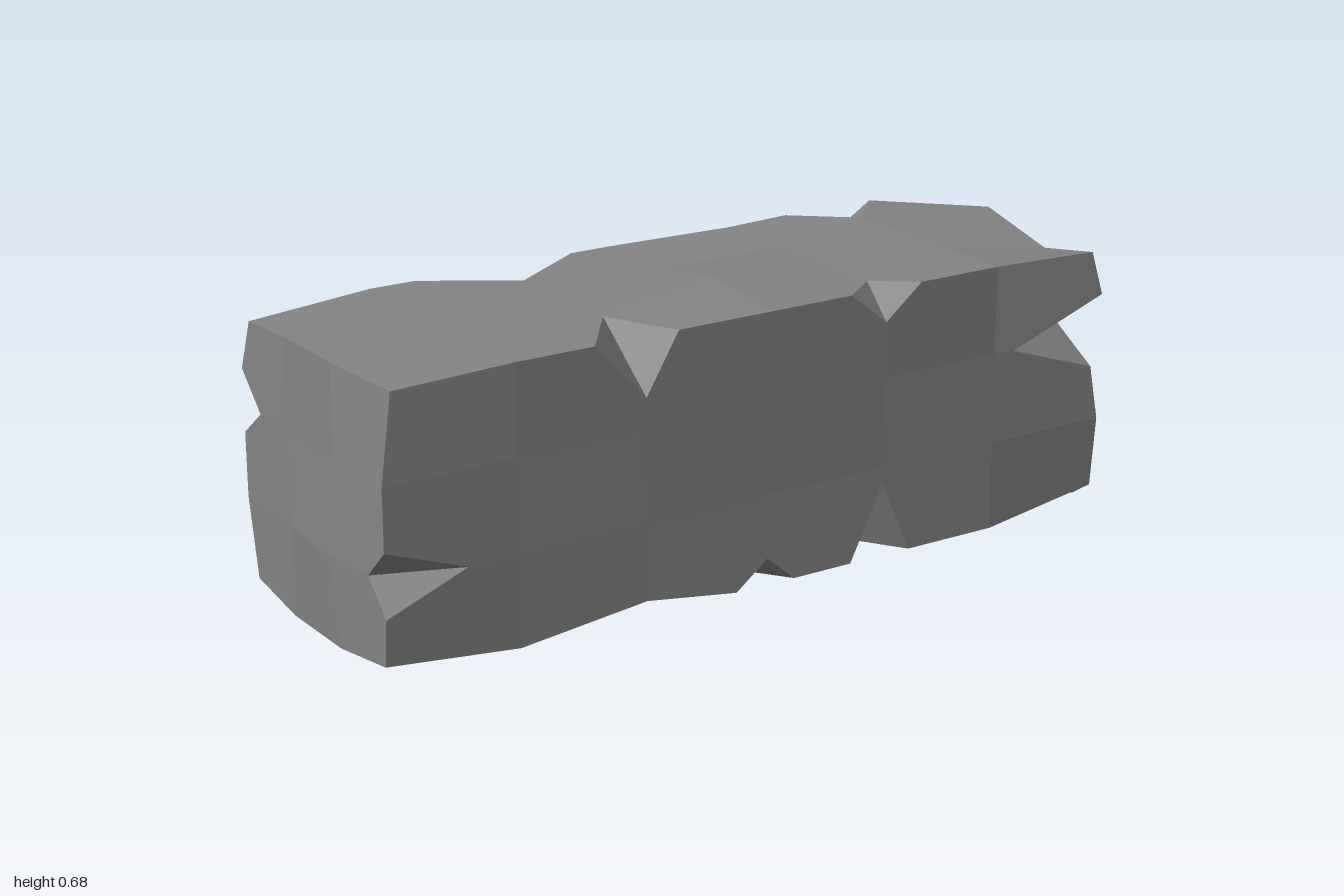
import * as THREE from 'three';

// Grid lines of the block: 6 x 3 x 3 cells
const GRID = [
  [-0.98, -0.655, -0.33, -0.005, 0.32, 0.645, 0.97],
  [0, 0.217, 0.435, 0.65],
  [-0.325, -0.11, 0.11, 0.325],
];
const LAST = [6, 3, 3];

// Worn corners, sagging edge points and swollen face points
const MOVED = {
  '0,3,3': [-0.945, 0.635, 0.31], '6,3,3': [0.97, 0.625, 0.285],
  '0,0,3': [-0.98, 0.03, 0.315], '6,0,3': [0.97, 0.04, 0.31],
  '0,3,0': [-0.965, 0.63, -0.31], '6,3,0': [0.97, 0.605, -0.27],
  '0,0,0': [-0.97, 0.02, -0.31], '6,0,0': [0.97, 0.06, -0.31],
  '6,3,2': [0.97, 0.595, 0.11], '6,0,1': [0.97, 0.025, -0.11],
  '2,0,3': [-0.33, 0.035, 0.325], '4,3,0': [0.32, 0.65, -0.31],
  '3,3,2': [-0.01, 0.68, 0.11], '0,1,2': [-1, 0.217, 0.11], '6,2,1': [1, 0.435, -0.11],
};

// Chips: edge axis, start and end along it, depth reached on the other two axes
const CHIPS = {
  '2,3,3': [0, -0.46, -0.245, 0.51, 0.15],
  '4,3,3': [0, 0.22, 0.42, 0.57, 0.25],
  '3,0,3': [0, -0.09, 0.07, 0.065, 0.22],
  '4,0,3': [0, 0.23, 0.4, 0.18, 0.2],
  '2,3,0': [0, -0.54, -0.12, 0.55, -0.19],
  '5,3,0': [0, 0.5, 0.76, 0.58, -0.2],
  '4,0,0': [0, 0.24, 0.4, 0.07, -0.25],
  '1,0,0': [0, -0.77, -0.54, 0.08, -0.25],
  '6,2,3': [1, 0.34, 0.53, 0.7, 0.14],
  '6,1,0': [1, 0.12, 0.32, 0.86, -0.17],
  '0,1,3': [1, 0.14, 0.29, -0.78, 0.25],
  '0,2,0': [1, 0.37, 0.52, -0.74, -0.24],
  '6,0,2': [2, 0.01, 0.25, 0.66, 0.18],
};

// Chip ends that are worn back from the edge line
const WORN_ENDS = { '6,2,3,0.34': [0.97, 0.34, 0.295] };

// Position of a grid point; plain face points sink in very slightly
function point(id) {
  const moved = MOVED[id.join()];
  if (moved) return moved.slice();
  const p = id.map((n, a) => GRID[a][n]);
  const outer = [0, 1, 2].filter((a) => id[a] === 0 || id[a] === LAST[a]);
  if (outer.length === 1) {
    const a = outer[0];
    const wobble = ((id[0] * 7 + id[1] * 5 + id[2] * 3) % 4) * 0.002;
    p[a] += id[a] === 0 ? wobble : -wobble;
  }
  return p;
}

// Copy of a point with one coordinate replaced
function withCoord(p, axis, value) {
  const q = p.slice();
  q[axis] = value;
  return q;
}

// Where a chip starts or ends on its edge
function chipEnd(id, value) {
  return WORN_ENDS[[...id, value].join()] || withCoord(point(id), CHIPS[id.join()][0], value);
}

// Tip of a chip on the face whose normal is faceAxis
function chipTip(id, faceAxis) {
  const chip = CHIPS[id.join()];
  const others = [0, 1, 2].filter((a) => a !== chip[0]);
  const inward = others.find((a) => a !== faceAxis);
  return withCoord(point(id), inward, chip[3 + others.indexOf(inward)]);
}

// Outline of one grid cell, cut back wherever a corner is chipped
function cellOutline(corners, faceAxis) {
  const outline = [];
  corners.forEach((id, n) => {
    const chip = CHIPS[id.join()];
    if (!chip) {
      outline.push(point(id));
      return;
    }
    const next = corners[(n + 1) % 4];
    const prev = corners[(n + 3) % 4];
    const e = chip[0];
    const alongNext = next[e] !== id[e];
    const neighbour = alongNext ? next : prev;
    const end = chipEnd(id, neighbour[e] > id[e] ? chip[2] : chip[1]);
    const tip = chipTip(id, faceAxis);
    outline.push(...(alongNext ? [tip, end] : [end, tip]));
  });
  return outline;
}

// Area-weighted normal of an outline
function outlineNormal(outline) {
  const [first, ...rest] = outline.map((p) => new THREE.Vector3(...p));
  const sum = new THREE.Vector3();
  rest.forEach((p) => p.sub(first));
  for (let n = 0; n < rest.length - 1; n++) sum.add(rest[n].clone().cross(rest[n + 1]));
  return sum.normalize();
}

function blockGeometry() {
  const positions = [];
  const normals = [];

  // Each facet is a fan of triangles sharing one normal
  const addFacet = (outline) => {
    const normal = outlineNormal(outline).toArray();
    for (let n = 1; n < outline.length - 1; n++) {
      positions.push(...outline[0], ...outline[n], ...outline[n + 1]);
      normals.push(...normal, ...normal, ...normal);
    }
  };

  // Six sides, cell by cell
  for (let a = 0; a < 3; a++) {
    const b = (a + 1) % 3;
    const c = (a + 2) % 3;
    for (const side of [0, LAST[a]]) {
      for (let u = 0; u < LAST[b]; u++) {
        for (let v = 0; v < LAST[c]; v++) {
          const corners = [[0, 0], [1, 0], [1, 1], [0, 1]].map(([du, dv]) => {
            const id = [0, 0, 0];
            id[a] = side;
            id[b] = u + du;
            id[c] = v + dv;
            return id;
          });
          if (side === 0) corners.reverse();
          addFacet(cellOutline(corners, a));
        }
      }
    }
  }

  // Two sloping walls inside every chip, facing the missing corner
  for (const key of Object.keys(CHIPS)) {
    const id = key.split(',').map(Number);
    const [e, lo, hi] = CHIPS[key];
    const [tipA, tipB] = [0, 1, 2].filter((a) => a !== e).map((a) => chipTip(id, a));
    const outward = new THREE.Vector3(...point(id)).sub(new THREE.Vector3(...tipA));
    for (const value of [lo, hi]) {
      const wall = [tipA, tipB, chipEnd(id, value)];
      if (outlineNormal(wall).dot(outward) < 0) wall.reverse();
      addFacet(wall);
    }
  }

  const geometry = new THREE.BufferGeometry();
  geometry.setAttribute('position', new THREE.Float32BufferAttribute(positions, 3));
  geometry.setAttribute('normal', new THREE.Float32BufferAttribute(normals, 3));
  return geometry;
}

export function createModel() {
  const group = new THREE.Group();
  group.name = 'chippedStoneBrick';
  const material = new THREE.MeshStandardMaterial({ color: 0x848484 });
  const block = new THREE.Mesh(blockGeometry(), material);
  block.name = 'stoneBlock';
  group.add(block);
  return group;
}
